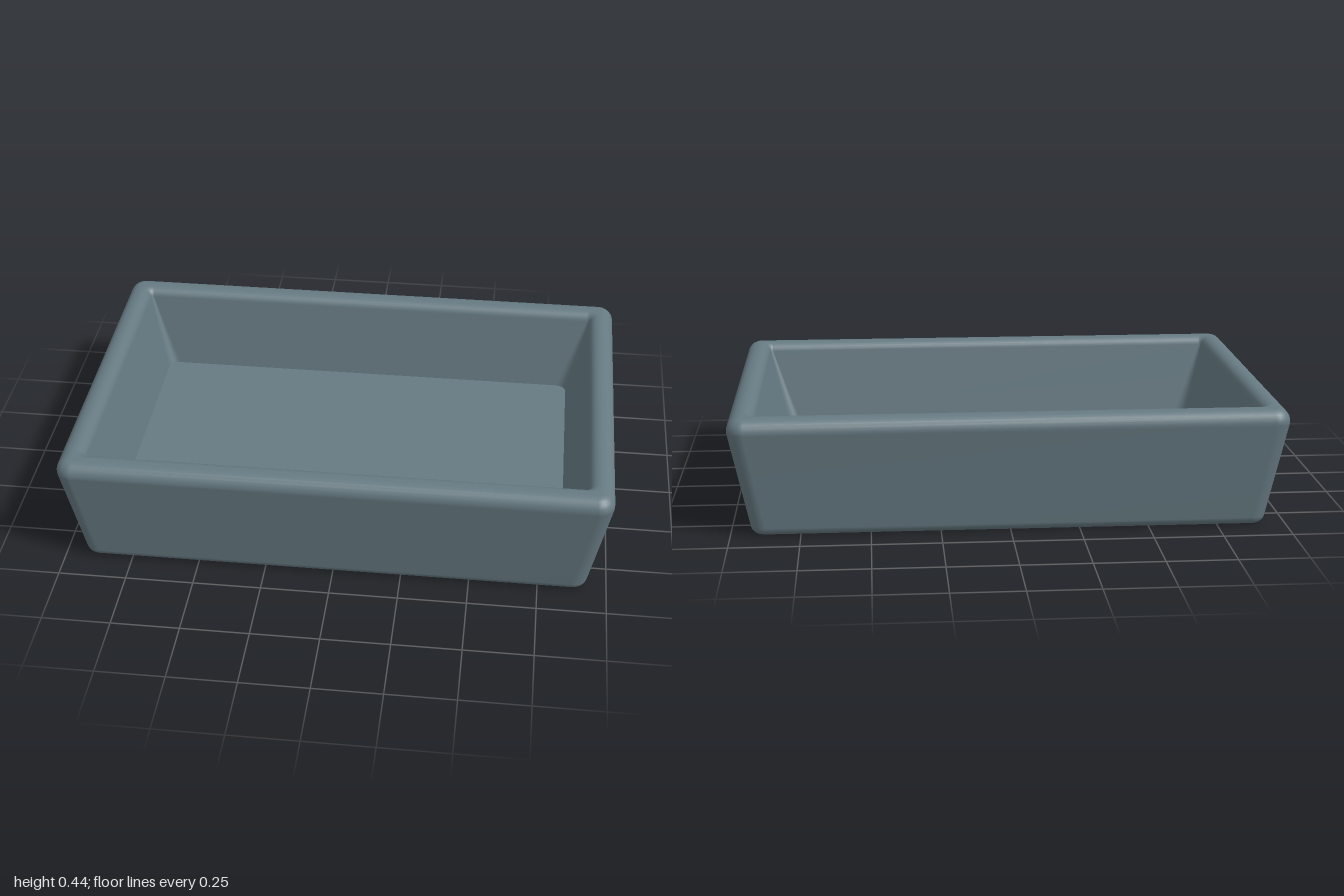
import * as THREE from 'three';

const CORNER_STEPS = 6;

// Outline of a rounded rectangle as [x, z] pairs
function roundedRect(hx, hz, r) {
  const points = [];
  [[1, 1], [-1, 1], [-1, -1], [1, -1]].forEach(([sx, sz], corner) => {
    for (let i = 0; i <= CORNER_STEPS; i++) {
      const a = (corner + i / CORNER_STEPS) * Math.PI / 2;
      points.push([sx * (hx - r) + r * Math.cos(a), sz * (hz - r) + r * Math.sin(a)]);
    }
  });
  return points;
}

// Skin through rounded-rectangle sections, each { y, hx, hz, r }
function loft(sections) {
  const n = 4 * (CORNER_STEPS + 1);
  const positions = [], index = [];
  for (const s of sections) {
    for (const [x, z] of roundedRect(s.hx, s.hz, s.r)) positions.push(x, s.y, z);
  }
  for (let i = 0; i < sections.length - 1; i++) {
    for (let j = 0; j < n; j++) {
      const a = i * n + j, b = i * n + (j + 1) % n;
      index.push(a, a + n, b, b, a + n, b + n);
    }
  }
  const g = new THREE.BufferGeometry();
  g.setAttribute('position', new THREE.Float32BufferAttribute(positions, 3));
  g.setIndex(index);
  g.computeVertexNormals();
  return g;
}

// Flat panel facing up (dir = 1) or down (dir = -1)
function panel({ y, hx, hz, r }, dir) {
  const shape = new THREE.Shape(roundedRect(hx, hz, r).map(([x, z]) => new THREE.Vector2(x, z)));
  return new THREE.ShapeGeometry(shape).rotateX(-dir * Math.PI / 2).translate(0, y, 0);
}

// Quarter-round run of sections between two fillet angles
function fillet(cx, cz, y, radius, from, to, r) {
  return Array.from({ length: 7 }, (_, i) => {
    const a = THREE.MathUtils.lerp(from, to, i / 6);
    const out = radius * Math.cos(a);
    return { y: y + radius * Math.sin(a), hx: cx + out, hz: cz + out, r: r + out };
  });
}

export function createModel() {
  const group = new THREE.Group();
  group.name = 'tray';
  const slate = new THREE.MeshStandardMaterial({ color: 0x667a82 });
  slate.name = 'slate grey';

  const base = fillet(0.895, 0.605, 0.035, 0.035, -Math.PI / 2, -0.15, 0.02);
  const outerRim = fillet(0.952, 0.637, 0.389, 0.048, -0.15, Math.PI / 2, 0.012);
  const innerRim = fillet(0.945, 0.62, 0.397, 0.04, Math.PI / 2, Math.PI - 0.18, 0.05);
  const floor = { y: 0.12, hx: 0.83, hz: 0.53, r: 0.04 };

  const add = (name, geometry) => {
    const mesh = new THREE.Mesh(geometry, slate);
    mesh.name = name;
    group.add(mesh);
  };
  // Sloping walls with rounded rim and rounded foot edge
  add('walls', loft([...base, ...outerRim, ...innerRim, floor]));
  add('floor', panel(floor, 1));
  add('underside', panel(base[0], -1));
  return group;
}
